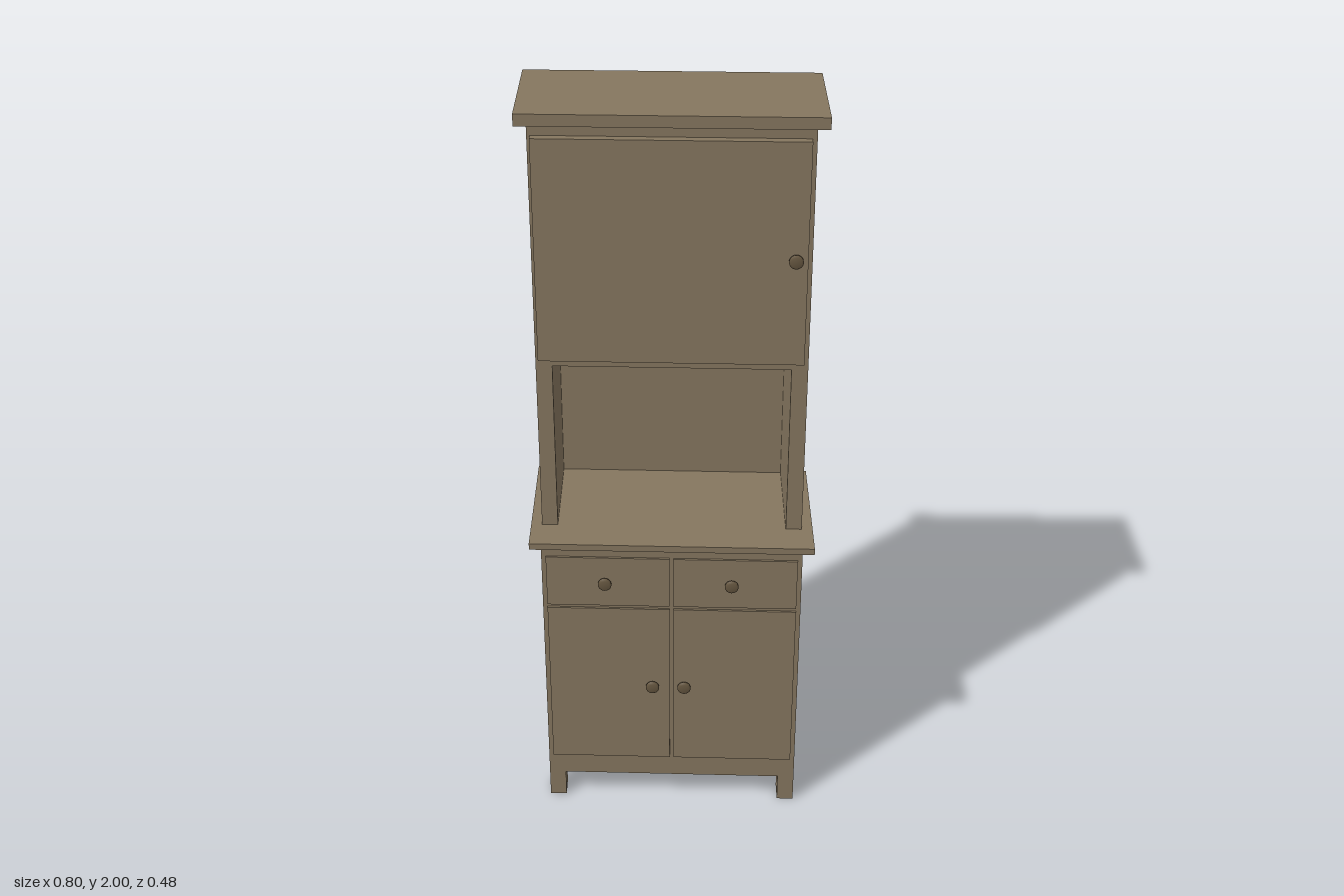
import * as THREE from 'three';

const wood = new THREE.MeshStandardMaterial({ color: 0x85765f });
const knobWood = new THREE.MeshStandardMaterial({ color: 0x64553f });

// The cabinet stands slightly turned and skewed: width runs along u, depth along v
const skew = new THREE.Matrix4().makeBasis(
  new THREE.Vector3(0.994, 0, -0.107),
  new THREE.Vector3(0, 1, 0),
  new THREE.Vector3(0.139, 0, 0.99)
);

export function createModel() {
  const model = new THREE.Group();
  model.name = 'cabinet';

  const add = (name, geometry, material = wood) => {
    geometry.applyMatrix4(skew);
    const mesh = new THREE.Mesh(geometry, material);
    mesh.name = name;
    model.add(mesh);
  };

  // Box given by its limits across, up and in depth
  const box = (name, x0, x1, y0, y1, z0, z1) =>
    add(name, new THREE.BoxGeometry(x1 - x0, y1 - y0, z1 - z0)
      .translate((x0 + x1) / 2, (y0 + y1) / 2, (z0 + z1) / 2));

  // Turned knob: thin neck and a flat round head
  const knob = (name, x, y, z) => {
    const profile = [[0, 0], [0.009, 0], [0.009, 0.007], [0.018, 0.009], [0.018, 0.015], [0.013, 0.019], [0, 0.019]]
      .map(([r, h]) => new THREE.Vector2(r, h));
    add(name, new THREE.LatheGeometry(profile, 20).rotateX(Math.PI / 2).translate(x, y, z), knobWood);
  };

  const W = 0.344, BACK = -0.2, LOW = 0.176, UP = 0.105;

  // Base cabinet and worktop
  box('baseCabinet', -W, W, 0.08, 0.84, BACK, LOW);
  box('worktop', -0.373, 0.373, 0.84, 0.858, -0.202, 0.202);

  // Legs, drawers and lower doors on both sides
  for (const s of [-1, 1]) {
    const side = s > 0 ? 'left' : 'right';
    const pair = (name, inner, outer, ...rest) =>
      box(side + name, Math.min(s * inner, s * outer), Math.max(s * inner, s * outer), ...rest);

    pair('FrontLeg', W - 0.045, W, 0, 0.08, LOW - 0.06, LOW);
    pair('BackLeg', W - 0.045, W, 0, 0.08, BACK, BACK + 0.05);
    pair('Drawer', 0.005, 0.332, 0.655, 0.805, LOW, 0.182);
    pair('LowerDoor', 0.005, 0.332, 0.145, 0.645, LOW, 0.182);
    pair('HutchSide', 0.302, W, 0.858, 1.33, BACK, UP);
    knob(side + 'DrawerKnob', s * 0.168 - 0.009, 0.73, 0.182);
    knob(side + 'DoorKnob', s * 0.043 - 0.009, 0.396, 0.182);
  }

  // Hutch: open niche with a closed cupboard above
  box('nicheBack', -0.302, 0.302, 0.858, 1.33, BACK, -0.19);
  box('upperCupboard', -W, W, 1.33, 1.97, BACK, UP);
  box('upperDoor', -0.336, 0.332, 1.355, 1.94, UP, 0.128);
  knob('upperDoorKnob', 0.302, 1.64, 0.128);

  // Cornice
  box('cornice', -0.373, 0.373, 1.97, 2, -0.202, 0.128);

  return model;
}
